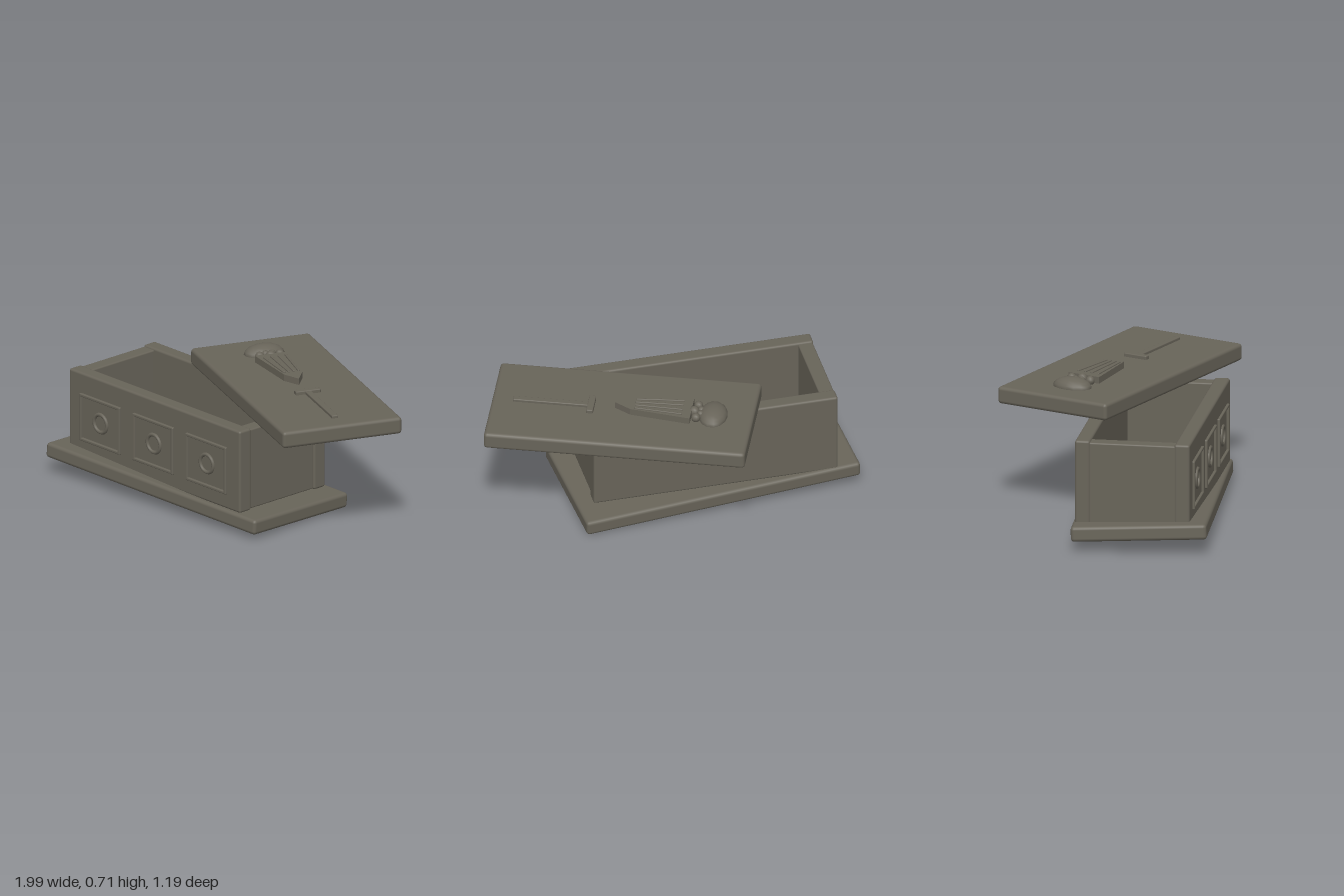
import * as THREE from 'three';
import { RoundedBoxGeometry } from 'three/addons/geometries/RoundedBoxGeometry.js';

export function createModel() {
  const stone = new THREE.MeshStandardMaterial({ color: 0x686459 });
  stone.name = 'weathered stone';
  const bone = new THREE.MeshStandardMaterial({ color: 0xd6cebc });
  bone.name = 'old bone';

  const model = new THREE.Group();
  model.name = 'openTomb';

  const add = (parent, name, geometry, material, x, y, z) => {
    const mesh = new THREE.Mesh(geometry, material);
    mesh.name = name;
    mesh.position.set(x, y, z);
    parent.add(mesh);
    return mesh;
  };
  const block = (parent, name, w, h, d, x, y, z, r = 0.012) =>
    add(parent, name, new RoundedBoxGeometry(w, h, d, 2, r), stone, x, y, z);
  const group = (name, parent = model) => {
    const g = new THREE.Group();
    g.name = name;
    parent.add(g);
    return g;
  };

  // Sunken, tilted base slab
  const base = block(model, 'baseSlab', 1.475, 0.08, 0.70, -0.24, 0.082, 0.195, 0.018);
  base.rotation.set(-0.044, 0.07, -0.037);

  // Chest walls
  const chest = group('chest');
  block(chest, 'frontWall', 1.29, 0.445, 0.08, -0.235, 0.3425, 0.455);
  block(chest, 'backWall', 1.29, 0.445, 0.078, -0.235, 0.3425, -0.062);
  for (const [name, x] of [['rightEndWall', -0.838], ['leftEndWall', 0.362]]) {
    block(chest, name, 0.078, 0.432, 0.45, x, 0.34, 0.197, 0.008);
  }

  // Three framed panels with rings on the front wall
  for (const x of [-0.64, -0.238, 0.162]) {
    const panel = group('frontPanel');
    panel.position.set(x, 0.328, 0.497);
    for (const s of [-1, 1]) {
      block(panel, 'frameRail', 0.305, 0.016, 0.022, 0, s * 0.12, 0, 0.005);
      block(panel, 'frameStile', 0.016, 0.256, 0.022, s * 0.1445, 0, 0, 0.005);
    }
    add(panel, 'ring', new THREE.TorusGeometry(0.048, 0.010, 8, 24), stone, 0, 0, -0.001);
  }

  // Lid, swung aside
  const lid = group('lid');
  lid.position.set(0.245, 0.61, -0.05);
  lid.rotation.y = -0.384;
  block(lid, 'lidSlab', 1.35, 0.09, 0.652, 0, 0, 0, 0.018);

  // Carved robed figure on the lid
  const figure = group('carvedFigure', lid);
  const robe = new THREE.Shape([
    [-0.358, -0.092], [-0.045, -0.05], [0.04, 0], [-0.045, 0.05], [-0.358, 0.092],
  ].map(([x, y]) => new THREE.Vector2(x, y)));
  const robeGeo = new THREE.ExtrudeGeometry(robe, { depth: 0.04, bevelEnabled: false });
  robeGeo.rotateX(-Math.PI / 2);
  add(figure, 'robe', robeGeo, stone, 0, 0.04, 0);
  for (const s of [-1.5, -0.5, 0.5, 1.5]) {
    const fold = block(figure, 'robeFold', 0.25, 0.014, 0.012, -0.19, 0.08, s * 0.033, 0.004);
    fold.rotation.y = s * 0.055;
  }
  const head = new THREE.SphereGeometry(1, 14, 10);
  const cranium = add(figure, 'head', head, stone, -0.468, 0.045, 0);
  cranium.scale.set(0.075, 0.05, 0.108);
  const knob = new THREE.SphereGeometry(1, 10, 8);
  for (const [name, x, z, r] of [
    ['chin', -0.37, 0, 0.028], ['hand', -0.385, 0.055, 0.024], ['hand', -0.385, -0.055, 0.024],
    ['nose', -0.405, 0.015, 0.02], ['nose', -0.405, -0.02, 0.02],
  ]) {
    add(figure, name, knob, stone, x, 0.063, z).scale.setScalar(r);
  }

  // Carved cross-hilted staff
  const staff = group('carvedStaff', lid);
  block(staff, 'crossbar', 0.035, 0.035, 0.135, 0.163, 0.047, 0, 0.005);
  block(staff, 'shaft', 0.39, 0.03, 0.034, 0.37, 0.045, 0, 0.005);

  // Skull inside the chest
  const skull = group('skull');
  skull.position.set(-0.643, 0.205, 0.145);
  const ball = new THREE.SphereGeometry(1, 14, 10);
  add(skull, 'skullCap', ball, bone, 0, 0, 0).scale.set(0.064, 0.062, 0.066);
  add(skull, 'jaw', ball, bone, 0, -0.038, 0.05).scale.set(0.036, 0.03, 0.034);
  for (const s of [-1, 1]) {
    add(skull, 'cheek', ball, bone, s * 0.032, -0.02, 0.048).scale.setScalar(0.022);
  }

  // Loose bones: a shaft with paired knuckles at both ends
  const looseBone = (x1, z1, x2, z2, y, r) => {
    const g = group('looseBone');
    const length = Math.hypot(x2 - x1, z2 - z1);
    g.position.set((x1 + x2) / 2, y, (z1 + z2) / 2);
    g.rotation.y = -Math.atan2(z2 - z1, x2 - x1);
    const shaft = add(g, 'boneShaft', new THREE.CylinderGeometry(r, r, length, 10), bone, 0, 0, 0);
    shaft.rotation.z = Math.PI / 2;
    for (const s of [-1, 1]) {
      for (const t of [-1, 1]) {
        add(g, 'boneKnuckle', knob, bone, s * length / 2, 0, t * r * 1.2).scale.setScalar(r * 1.25);
      }
    }
  };
  looseBone(-0.475, 0.25, -0.115, 0.17, 0.15, 0.012);
  looseBone(-0.335, 0.092, -0.28, 0.0, 0.15, 0.014);
  looseBone(-0.26, 0.09, 0.06, 0.04, 0.15, 0.012);

  return model;
}
